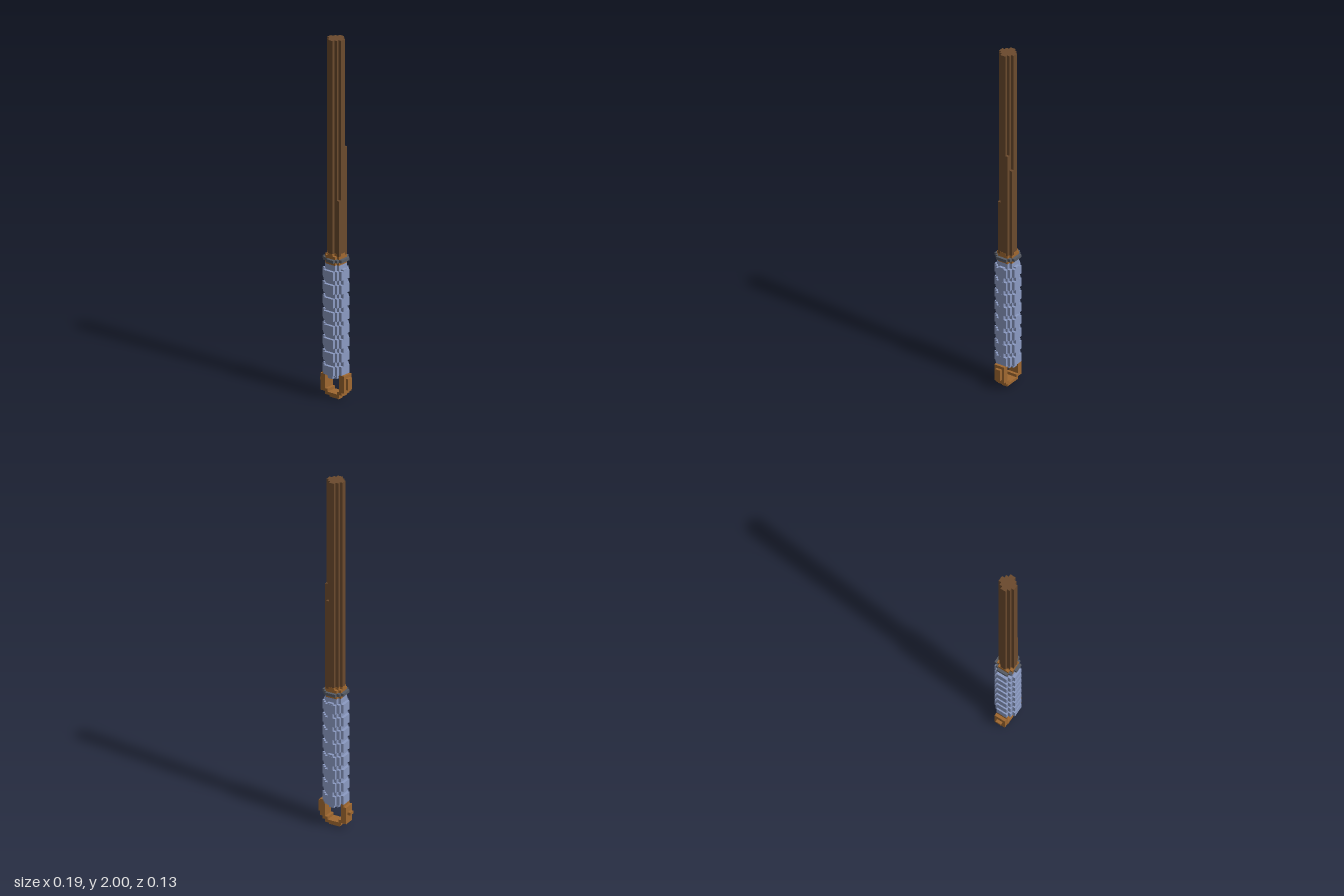
import * as THREE from 'three';
import { mergeGeometries } from 'three/addons/utils/BufferGeometryUtils.js';

const V = 0.0158; // size of one block

// box spanning block coordinates in x and z, and plain units in y
function block(x0, x1, y0, y1, z0, z1) {
  const g = new THREE.BoxGeometry((x1 - x0) * V, y1 - y0, (z1 - z0) * V);
  g.translate((x0 + x1) / 2 * V, (y0 + y1) / 2, (z0 + z1) / 2 * V);
  return g;
}

// upright prism with a stepped outline: one [x0, x1] span per row, from back to front
function prism(rows, y0, y1) {
  const n = rows.length / 2;
  const right = [], left = [];
  rows.forEach(([a, b], i) => {
    const z = i - n;
    right.push([b, z], [b, z + 1]);
    left.unshift([a, z + 1], [a, z]);
  });
  const pts = [...right, ...left].map(([x, z]) => new THREE.Vector2(x * V, -z * V));
  const g = new THREE.ExtrudeGeometry(new THREE.Shape(pts), { depth: y1 - y0, bevelEnabled: false });
  g.rotateX(-Math.PI / 2);
  g.translate(0, y0, 0);
  return g;
}

const spans = (halves) => halves.map((h) => [-h, h]);
const SLIM = spans([1, 2, 3, 3, 2, 1]);
const FULL = spans([2, 3, 3, 3, 3, 2]);
const WIDE = spans([2, 3, 4, 4, 4, 4, 3, 2]);

export function createModel() {
  const root = new THREE.Group();
  const material = (name, color) => {
    const m = new THREE.MeshStandardMaterial({ color });
    m.name = name;
    return m;
  };
  const wood = material('dark wood', 0x6b4a2d);
  const copper = material('copper', 0xa06830);
  const wrap = material('blue grey wrap', 0x8c9bc3);
  const iron = material('dark iron', 0x565b64);

  const add = (name, geometries, mat) => {
    const mesh = new THREE.Mesh(geometries.length > 1 ? mergeGeometries(geometries) : geometries[0], mat);
    mesh.name = name;
    root.add(mesh);
  };

  // shaft with three filled corner steps that end at different heights
  add('shaft', [prism(SLIM, 0.8, 2)], wood);
  add('shaftRidges', [
    block(2, 3, 0.8, 1.4, -2, -1),
    block(1, 2, 0.8, 1.31, -3, -2),
    block(2, 3, 0.8, 1.11, 1, 2),
  ], wood);

  // collar above and below the guard plate
  const lip = prism(SLIM, 0.8, 0.813);
  lip.scale(1.02, 1, 1.02);
  add('collar', [prism(FULL, 0.752, 0.8), lip], copper);
  const guardRows = WIDE.slice();
  guardRows[7] = [-1, 2];
  add('guard', [prism(guardRows, 0.768, 0.784)], iron);

  // grip core with a smaller foot
  add('grip', [prism(FULL, 0.133, 0.752)], wrap);
  add('gripFoot', [prism(SLIM, 0.117, 0.133)], wrap);

  // evenly spaced raised bands
  const bands = [];
  for (let i = 0; i < 8; i++) {
    const y = 0.165 + i * 0.0757;
    bands.push(prism(WIDE, y - 0.025, y + 0.025));
  }
  add('gripBands', bands, wrap);

  // long raised strips on the left side and the back
  add('gripStrips', [
    block(3, 3.98, 0.135, 0.728, -1, 1),
    block(-1, 1, 0.14, 0.43, -3.98, -3),
    block(-1, 1, 0.45, 0.728, -3.98, -3),
  ], wrap);

  // stepped ring: [x0, x1, first row, last row, half depth]
  const ring = [
    [-2, 2, 0, 1, 1],
    [-3, 3, 1, 2, 2],
    [-5, -2, 2, 3, 2],
    [2, 4, 2, 3, 2],
    [-5, -3, 3, 4, 2],
    [3, 5, 3, 4, 2],
    [-5, -3, 4, 8, 2],
    [3, 5, 4, 8, 2],
    [-6, -5, 5, 6, 1],
    [5, 6, 4, 8, 1],
    [-4, -3, 8, 9, 2],
    [3, 5, 8, 9, 2],
  ];
  add('ring', ring.map(([x0, x1, r0, r1, h]) => block(x0, x1, r0 * V, r1 * V, -h, h)), copper);

  return root;
}
